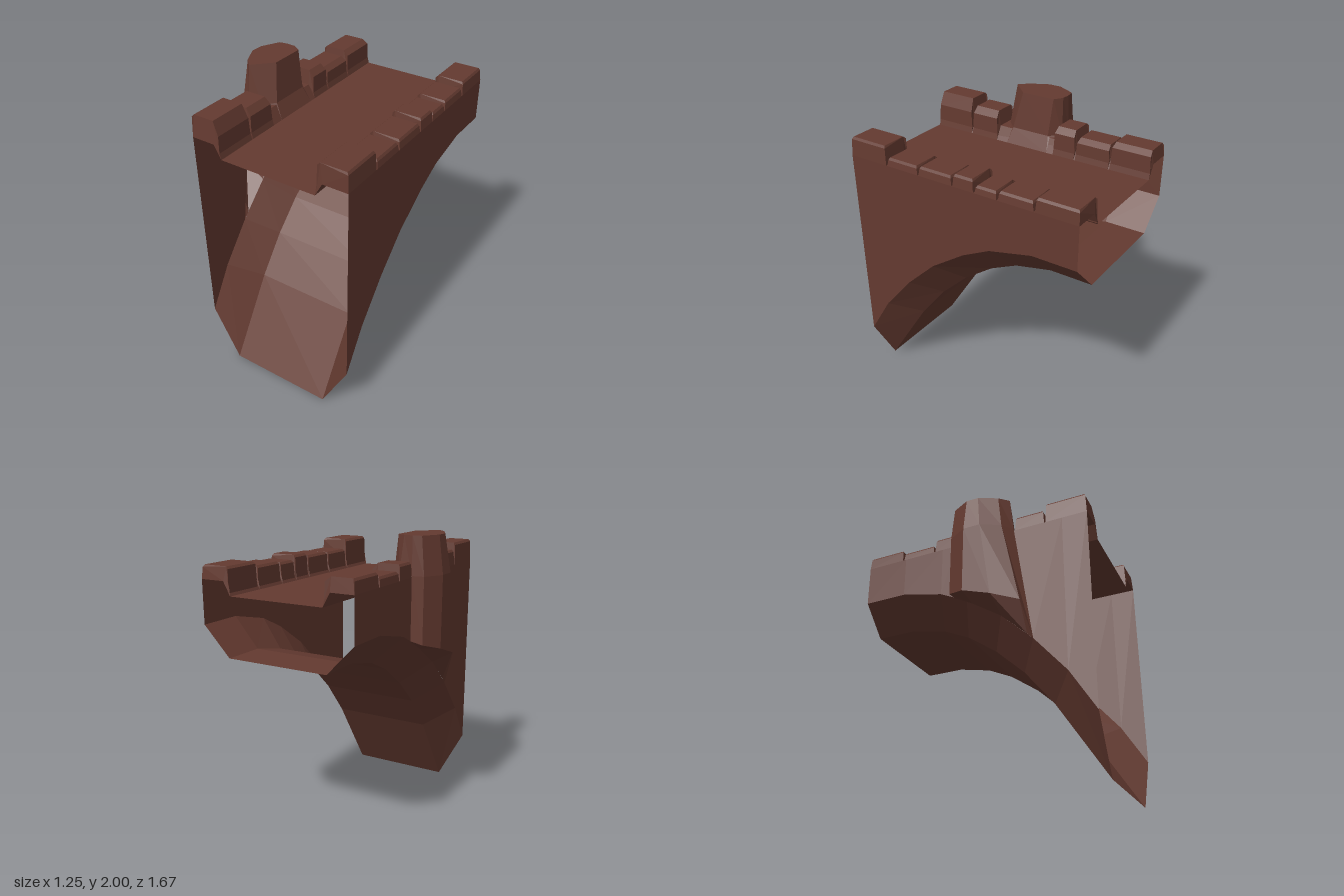
import * as THREE from 'three';

const stone = new THREE.MeshStandardMaterial({ color: 0x643a30, side: THREE.DoubleSide, flatShading: true });
stone.name = 'brownStone';

const L = -0.48, R = 0.62, END = 0.833, LEDGE = 1.74, DECK = 1.65;

// Faceted sheet joining equal-length rows of [x, y, z] points
function sheet(name, rows) {
  const pos = rows.flat(2), index = [], n = rows[0].length;
  for (let r = 0; r < rows.length - 1; r++) {
    for (let i = 0; i < n - 1; i++) {
      const a = r * n + i, b = a + n;
      index.push(a, b, a + 1, a + 1, b, b + 1);
    }
  }
  let geo = new THREE.BufferGeometry();
  geo.setAttribute('position', new THREE.Float32BufferAttribute(pos, 3));
  geo.setIndex(index);
  geo = geo.toNonIndexed();
  geo.computeVertexNormals();
  const mesh = new THREE.Mesh(geo, stone);
  mesh.name = name;
  return mesh;
}

// Parapet block: a cross-section run along z, with its ends leaning in towards the top
function merlon(name, profile, z0, z1, top) {
  const shape = new THREE.Shape(profile.map(([x, y]) => new THREE.Vector2(x, y)));
  const geo = new THREE.ExtrudeGeometry(shape, { depth: z1 - z0, bevelEnabled: false });
  geo.translate(0, 0, z0);
  const p = geo.attributes.position, mid = (z0 + z1) / 2;
  for (let i = 0; i < p.count; i++) {
    const y = p.getY(i);
    const lean = y > top - 0.005 ? 0.014 : y > LEDGE + 0.01 ? 0.006 : 0;
    p.setZ(i, p.getZ(i) + (p.getZ(i) < mid ? lean : -lean));
  }
  geo.computeVertexNormals();
  const mesh = new THREE.Mesh(geo, stone);
  mesh.name = name;
  return mesh;
}

export function createModel() {
  const model = new THREE.Group();
  model.name = 'halfArchBridge';

  // Half arch: [z, y] of the soffit and of the chamfer's outer edge
  const soffit = [[END, 0], [0.5, 0.52], [0.3, 0.77], [0.1, 0.96], [-0.11, 1.11], [-0.3, 1.2], [-0.55, 1.255], [-END, 1.255]];
  const rim = [[END, 0.36], [0.66, 0.64], [0.44, 0.9], [0.22, 1.11], [-0.03, 1.28], [-0.23, 1.38], [-0.53, 1.45], [-END, 1.45]];
  const at = (x, line) => line.map(([z, y]) => [x, y, z]);
  model.add(sheet('archSoffit', [at(-0.29, soffit), at(0.43, soffit)]));
  model.add(sheet('archChamferRight', [at(L, rim), at(-0.29, soffit)]));
  model.add(sheet('archChamferLeft', [at(0.43, soffit), at(R, rim)]));

  // Side walls; the right one is interrupted by the tower
  const wall = (name, x, line, topZ) =>
    model.add(sheet(name, [at(x, line), line.map(([z], i) => [x, LEDGE, topZ?.[i] ?? z])]));
  wall('wallLeft', R, rim);
  wall('wallRightFront', L, rim.slice(0, 3), [END, 0.66, 0.315]);
  wall('wallRightBack', L, [[-0.13, 1.33], ...rim.slice(5)]);

  // Roadway with the raised ledges under the parapets
  const section = [[L, LEDGE], [-0.32, LEDGE], [-0.27, DECK], [0.4, DECK], [0.45, LEDGE], [R, LEDGE]];
  model.add(sheet('roadway', [END, -END].map(z => section.map(([x, y]) => [x, y, z]))));

  // Parapet blocks: [z start, z end, top]
  const leftBlocks = [[-0.833, -0.55, 1.83], [-0.54, -0.3, 1.8], [-0.29, -0.135, 1.79], [-0.125, 0.025, 1.82],
    [0.035, 0.285, 1.8], [0.295, 0.535, 1.795], [0.545, 0.833, 1.865]];
  for (const [a, b, t] of leftBlocks) {
    model.add(merlon('parapetBlockLeft', [[R, LEDGE], [0.613, t - 0.015], [0.603, t], [0.43, t],
      [0.415, t - 0.015], [0.41, 1.66], [0.4, DECK], [0.45, LEDGE]], a, b, t));
  }
  const rightBlocks = [[-0.833, -0.555, 1.83], [-0.545, -0.3, 1.8], [-0.29, -0.13, 1.84],
    [0.325, 0.535, 1.845], [0.545, 0.833, 1.89]];
  for (const [a, b, t] of rightBlocks) {
    model.add(merlon('parapetBlockRight', [[L, LEDGE], [-0.32, LEDGE], [-0.27, DECK], [-0.28, 1.69],
      [-0.283, Math.min(1.8, t - 0.03)], [-0.32, t], [-0.465, t], [-0.476, t - 0.015]], a, b, t));
  }

  // Tower: outer facets front to back, inner facets back to front
  const tower = new THREE.Group();
  tower.name = 'tower';
  const level = (y, pts) => pts.map(([x, z]) => [x, y, z]);
  const topOut = level(2, [[-0.475, 0.286], [-0.535, 0.225], [-0.597, 0.1], [-0.597, 0.013], [-0.535, -0.11], [-0.475, -0.12]]);
  const midOut = level(1.75, [[L, 0.315], [-0.56, 0.26], [-0.63, 0.13], [-0.63, 0.01], [-0.56, -0.12], [L, -0.13]]);
  const foot = [[L, 0.9, 0.44], [-0.56, 1.15, 0.385], [-0.63, 1.2, 0.21], [-0.63, 1.27, 0.01], [-0.56, 1.31, -0.12], [L, 1.33, -0.13]];
  const wallLine = [[L, 0.9, 0.44], [L, 0.94, 0.4], [L, 1.11, 0.22], [L, 1.25, 0.01], [L, 1.32, -0.12], [L, 1.33, -0.13]];
  tower.add(sheet('towerOuterFaces', [topOut, midOut, foot, wallLine]));

  const topIn = level(2, [[-0.475, -0.12], [-0.415, -0.115], [-0.355, -0.075], [-0.355, 0.163], [-0.415, 0.225], [-0.475, 0.286]]);
  const midIn = level(1.75, [[L, -0.13], [-0.39, -0.13], [-0.32, -0.06], [-0.32, 0.22], [-0.39, 0.29], [L, 0.315]]);
  const skirt = level(DECK, [[L, -0.19], [-0.32, -0.19], [-0.27, -0.08], [-0.27, 0.24], [-0.32, 0.35], [L, 0.35]]);
  tower.add(sheet('towerInnerFaces', [topIn, midIn, skirt]));
  tower.add(sheet('towerTop', [topOut, [...topIn].reverse()]));
  model.add(tower);

  return model;
}
